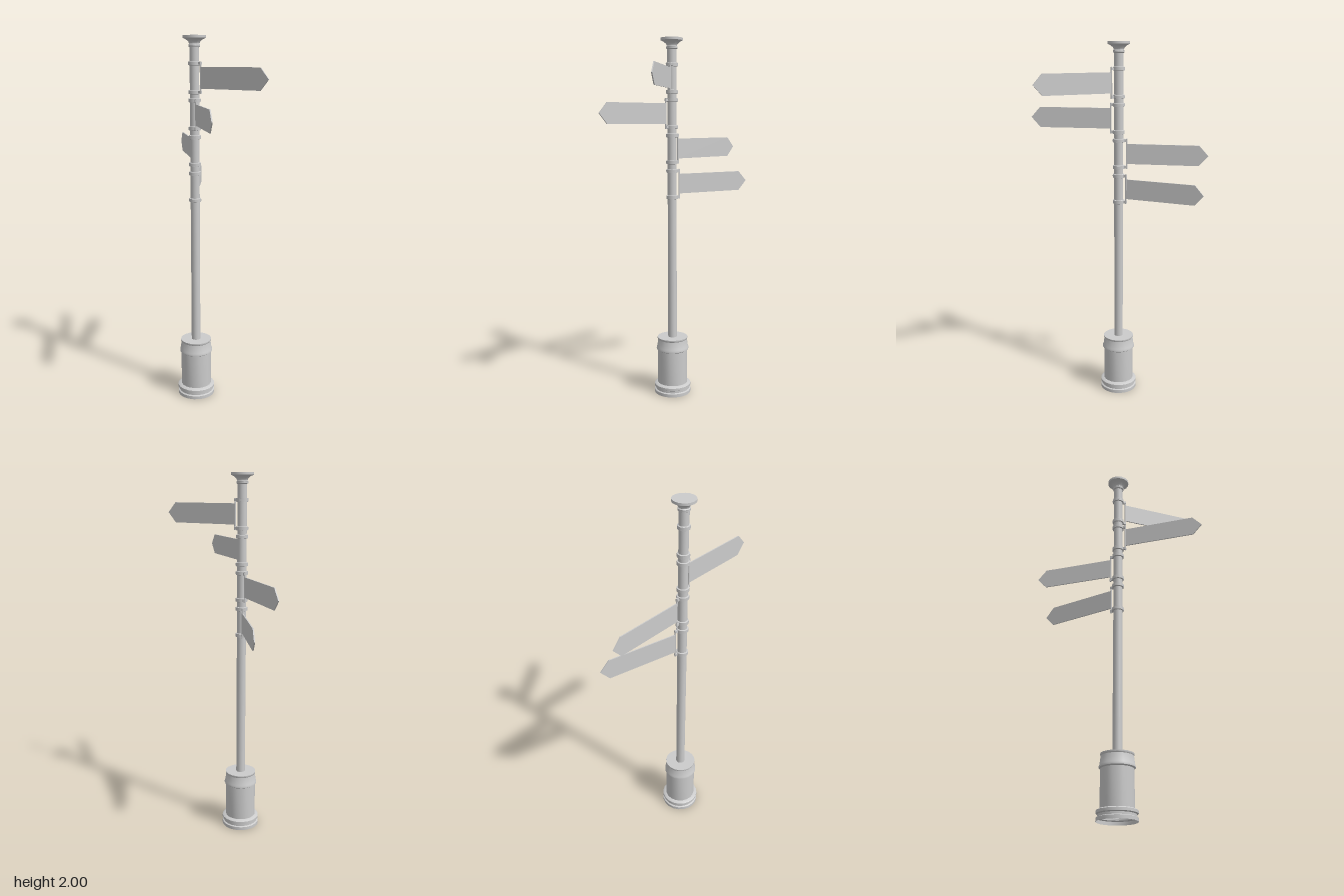
import * as THREE from 'three';
import { toCreasedNormals } from 'three/addons/utils/BufferGeometryUtils.js';

const POST_X = -0.095;
const SEGMENTS = 20;

export function createModel() {
  const group = new THREE.Group();
  const material = new THREE.MeshStandardMaterial({ color: 0xcccccc, side: THREE.DoubleSide });

  const add = (parent, name, geometry, x = 0, y = 0, z = 0) => {
    const mesh = new THREE.Mesh(geometry, material);
    mesh.name = name;
    mesh.position.set(x, y, z);
    parent.add(mesh);
    return mesh;
  };
  const lathe = (points) => toCreasedNormals(
    new THREE.LatheGeometry(points.map(([r, y]) => new THREE.Vector2(r, y)), SEGMENTS), 0.6);

  const post = new THREE.Group();
  post.name = 'signpost';
  post.position.x = POST_X;
  group.add(post);

  // Hollow pedestal with stepped foot and shoulder moulding
  add(post, 'pedestal', lathe([
    [0.104, 0], [0.104, 0.018], [0.096, 0.022], [0.096, 0.034], [0.104, 0.038],
    [0.104, 0.052], [0.094, 0.058], [0.085, 0.06], [0.085, 0.254], [0.092, 0.259],
    [0.092, 0.268], [0.089, 0.274], [0.083, 0.318], [0.086, 0.323], [0.086, 0.33], [0, 0.33],
  ]));

  // Pole and flared finial
  add(post, 'pole', new THREE.CylinderGeometry(0.025, 0.025, 1.63, SEGMENTS, 1, true), 0, 1.145, 0);
  add(post, 'finial', lathe([
    [0.025, 1.94], [0.031, 1.944], [0.031, 1.954], [0.027, 1.958], [0.031, 1.968],
    [0.043, 1.979], [0.06, 1.987], [0.06, 2], [0, 2],
  ]));

  // Arrow board outline, starting at the bracket and ending in a point
  const start = 0.046, half = 0.055, thick = 0.006;
  const boardGeometry = (tip) => {
    const shape = new THREE.Shape();
    shape.moveTo(start, -half);
    shape.lineTo(tip - 0.05, -half);
    shape.lineTo(tip, 0);
    shape.lineTo(tip - 0.05, half);
    shape.lineTo(start, half);
    shape.closePath();
    return new THREE.ExtrudeGeometry(shape, { depth: thick, bevelEnabled: false })
      .translate(0, 0, -thick / 2);
  };

  const collar = lathe([
    [0.025, -0.011], [0.032, -0.009], [0.033, -0.004], [0.033, 0.004], [0.032, 0.009], [0.025, 0.011],
  ]);
  const tab = new THREE.BoxGeometry(0.02, 0.014, 0.012);
  const rod = new THREE.CylinderGeometry(0.0045, 0.0045, 0.166, 10);

  // Each sign: height of its middle and the x, z of its tip
  const signs = [
    [1.787, 0.195, 0.39],
    [1.598, -0.098, 0.488],
    [1.406, -0.091, -0.488],
    [1.211, 0.025, -0.475],
  ];
  for (const [y, tipX, tipZ] of signs) {
    const dx = tipX - POST_X;
    const sign = new THREE.Group();
    sign.name = 'sign';
    sign.position.y = y;
    sign.rotation.y = Math.atan2(-tipZ, dx);
    post.add(sign);

    add(sign, 'signBoard', boardGeometry(Math.hypot(dx, tipZ)));
    add(sign, 'bracketRod', rod, 0.044, 0, 0);
    for (const side of [-1, 1]) {
      add(sign, 'collar', collar, 0, side * 0.073, 0);
      add(sign, 'bracketTab', tab, 0.037, side * 0.073, 0);
    }
  }
  return group;
}
